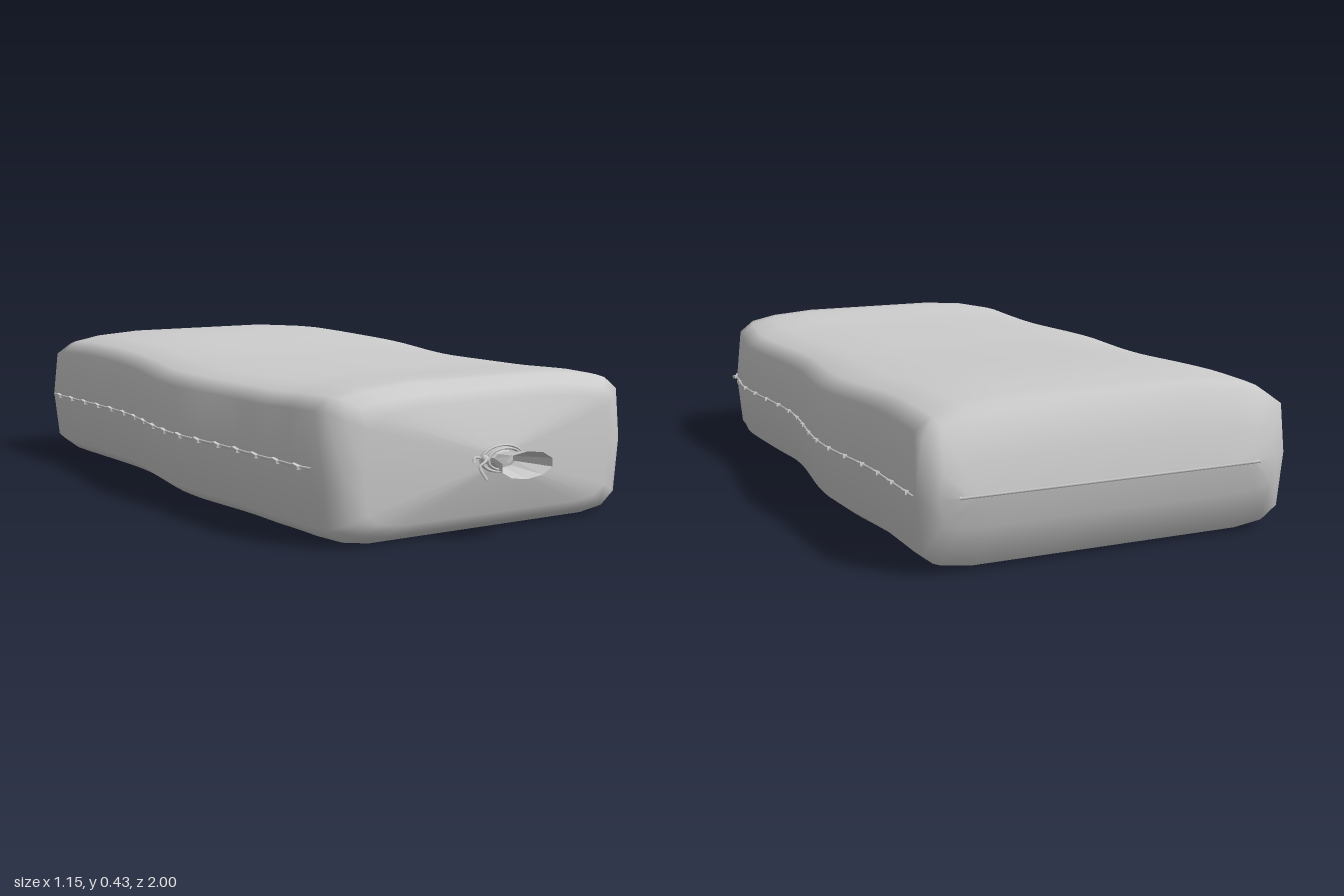
import * as THREE from 'three';

// Smooth interpolation through [z, value] keys ordered by rising z
function sample(keys, z) {
  if (z <= keys[0][0]) return keys[0][1];
  for (let i = 1; i < keys.length; i++) {
    const [z0, a] = keys[i - 1], [z1, b] = keys[i];
    if (z <= z1) return THREE.MathUtils.lerp(a, b, THREE.MathUtils.smoothstep(z, z0, z1));
  }
  return keys[keys.length - 1][1];
}

// Wavy outlines of the sack
const LEFT = [[-0.95, 0.535], [-0.7, 0.535], [-0.33, 0.568], [0.1, 0.525], [0.52, 0.552], [0.7, 0.53], [0.8, 0.5]];
const RIGHT = [[-0.95, -0.552], [-0.4, -0.525], [0.05, -0.569], [0.45, -0.535], [0.7, -0.52], [0.8, -0.5]];
const TOP = [[-0.95, 0.405], [-0.88, 0.422], [-0.7, 0.427], [0, 0.402], [0.45, 0.4], [0.75, 0.412], [0.8, 0.41]];

// Half outline of a cross-section: width fraction, height fraction
const HALF = [[0, 1], [0.45, 1], [0.72, 0.975], [0.88, 0.935], [0.97, 0.85], [1, 0.5],
  [0.97, 0.12], [0.88, 0.03], [0.72, 0], [0.45, 0], [0, 0]];
const OUTLINE = [...HALF, ...HALF.slice(1, -1).reverse().map(([u, v]) => [-u, v])];

function sackGeometry() {
  // Each section: z, right x, left x, bottom y, top y
  const sections = [[-1, -0.43, 0.43, 0.2, 0.21], [-0.985, -0.5, 0.49, 0.12, 0.29]];
  for (let i = 0; i <= 35; i++) {
    const z = -0.95 + i * 0.05;
    const bottom = i === 0 ? 0.012 : 0;
    sections.push([z, sample(RIGHT, z), sample(LEFT, z), bottom, sample(TOP, z)]);
  }
  sections.push([0.835, -0.46, 0.46, 0.02, 0.385], [0.855, -0.41, 0.41, 0.05, 0.355],
    [0.888, -0.045, 0.045, 0.18, 0.23]);

  const pos = [], index = [], n = OUTLINE.length;
  for (const [z, r, l, b, t] of sections) {
    for (const [u, v] of OUTLINE) pos.push((l + r) / 2 + u * (l - r) / 2, b + v * (t - b), z);
  }
  for (let s = 0; s < sections.length - 1; s++) {
    for (let k = 0; k < n; k++) {
      const a = s * n + k, b = s * n + (k + 1) % n;
      index.push(a, a + n, b, b, a + n, b + n);
    }
  }
  // Close both ends
  const last = (sections.length - 1) * n;
  const back = pos.length / 3;
  pos.push(0, 0.205, -1, 0, 0.205, 0.89);
  for (let k = 0; k < n; k++) {
    const j = (k + 1) % n;
    index.push(back, k, j, back + 1, last + j, last + k);
  }
  const g = new THREE.BufferGeometry();
  g.setAttribute('position', new THREE.Float32BufferAttribute(pos, 3));
  g.setIndex(index);
  g.computeVertexNormals();
  return g;
}

function tube(points, radius, segments, sides = 5) {
  const curve = new THREE.CatmullRomCurve3(points.map((p) => new THREE.Vector3(...p)));
  return new THREE.TubeGeometry(curve, segments, radius, sides);
}

export function createModel() {
  // One colour throughout; the open neck is faceted and seen from both sides
  const GREY = 0xcccccc;
  const fabric = new THREE.MeshStandardMaterial({ color: GREY });
  fabric.name = 'fabric';
  const neckFabric = new THREE.MeshStandardMaterial({ color: GREY, flatShading: true, side: THREE.DoubleSide });
  neckFabric.name = 'neckFabric';

  const model = new THREE.Group();
  model.name = 'tiedSack';
  const add = (name, geometry, material = fabric, parent = model) => {
    const m = new THREE.Mesh(geometry, material);
    m.name = name;
    parent.add(m);
    return m;
  };

  add('sackBody', sackGeometry());

  // Sewn seams around the middle, with small overcast stitches
  const stitch = new THREE.BoxGeometry(0.014, 0.01, 0.03);
  for (const [side, keys, sign] of [['left', LEFT, 1], ['right', RIGHT, -1]]) {
    const seam = new THREE.Group();
    seam.name = side + 'Seam';
    model.add(seam);
    const pts = [];
    for (let i = 0; i <= 34; i++) {
      const z = -0.94 + i * 0.05;
      pts.push([sample(keys, z) + sign * 0.002, 0.205, z]);
      if (i % 2) {
        const m = add(side + 'Stitch', stitch, fabric, seam);
        m.position.set(sample(keys, z) + sign * 0.003, 0.205, z);
        m.rotation.x = 0.15;
      }
    }
    add(side + 'Thread', tube(pts, 0.004, 70), fabric, seam);
  }
  add('backThread', tube([[-0.44, 0.205, -0.997], [0, 0.205, -0.998], [0.44, 0.205, -0.997]], 0.005, 8));

  // Gathered neck flaring out of the front
  const flare = [[0.045, 0.885], [0.036, 0.905], [0.087, 1]];
  const neckGeometry = new THREE.LatheGeometry(flare.map(([r, z]) => new THREE.Vector2(r, z)), 10);
  // Keep the flattened neck thicker where it is tied
  const p = neckGeometry.attributes.position;
  for (let i = 0; i < p.count; i++) if (p.getY(i) < 0.92) p.setZ(i, p.getZ(i) * 1.4);
  const neck = add('neck', neckGeometry, neckFabric);
  neck.rotation.x = Math.PI / 2;
  neck.scale.z = 0.42;
  neck.position.y = 0.203;

  // Cord wrapped around the neck, knotted with loose ends
  const tie = new THREE.Group();
  tie.name = 'tie';
  model.add(tie);
  for (const [z, rx] of [[0.893, 0.068], [0.905, 0.055]]) {
    const ring = add('cordLoop', new THREE.TorusGeometry(rx, 0.006, 6, 24), fabric, tie);
    ring.scale.y = 0.52;
    ring.position.set(0, 0.205, z);
  }
  add('cordKnot', new THREE.SphereGeometry(0.012, 8, 6), fabric, tie).position.set(-0.065, 0.21, 0.905);
  add('longCordEnd', tube([[-0.06, 0.212, 0.905], [-0.085, 0.208, 0.93], [-0.105, 0.198, 0.935],
    [-0.1, 0.167, 0.96]], 0.004, 12), fabric, tie);
  add('shortCordEnd', tube([[-0.06, 0.21, 0.905], [-0.09, 0.215, 0.895], [-0.105, 0.203, 0.912]], 0.004, 8), fabric, tie);

  return model;
}
